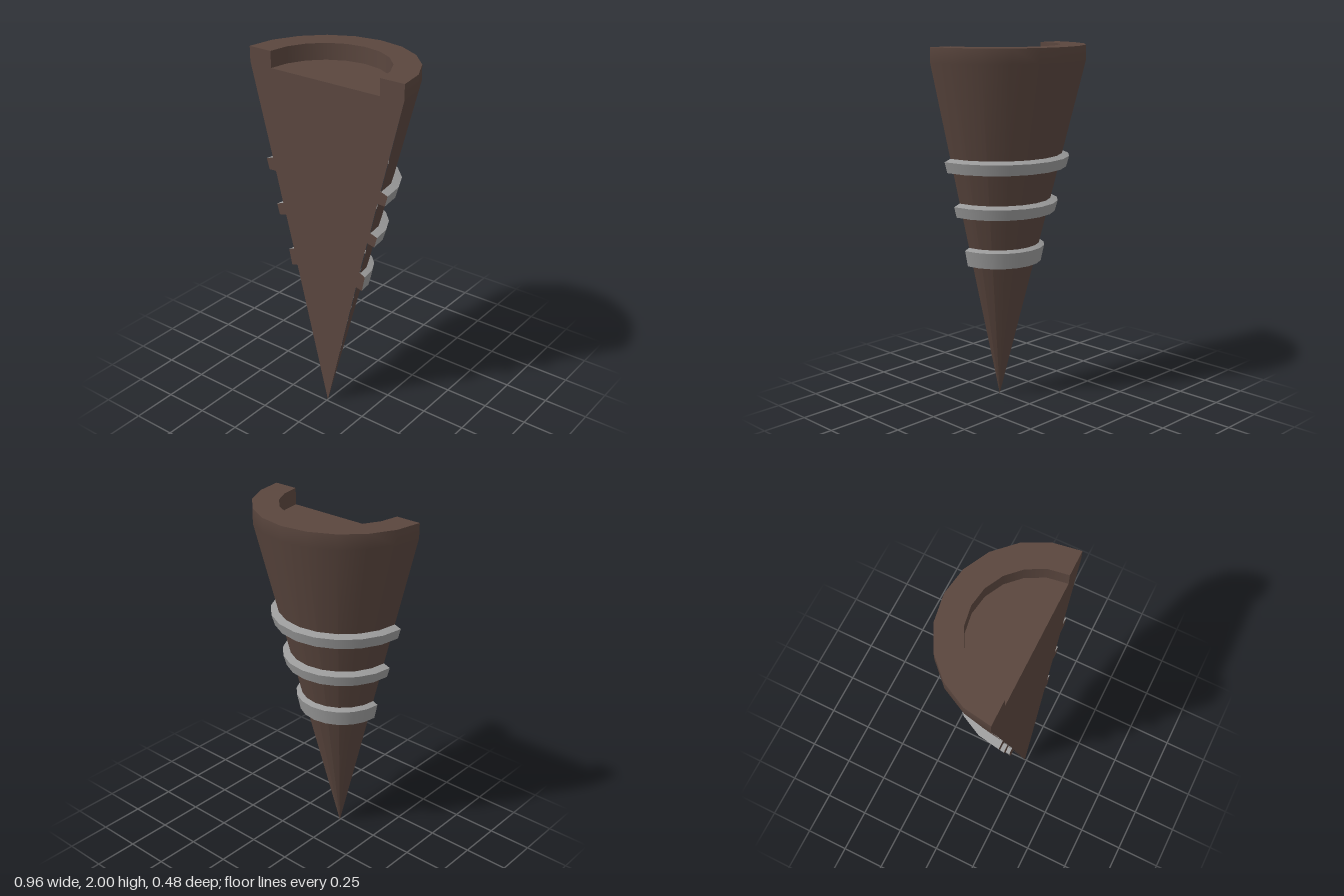
import * as THREE from 'three';

const FRONT_Z = 0.24;
const SIDES = 10;

// Ring profiles as [radius, y]: inner bottom, outer bottom, outer top, inner top
const RINGS = [
  [[0.2, 0.815], [0.238, 0.805], [0.257, 0.895], [0.222, 0.91]],
  [[0.27, 1.1], [0.315, 1.09], [0.332, 1.15], [0.288, 1.165]],
  [[0.332, 1.342], [0.377, 1.34], [0.394, 1.4], [0.35, 1.415]],
];

export function createModel() {
  const group = new THREE.Group();
  const brown = new THREE.MeshStandardMaterial({ color: 0x5a463e });
  brown.name = 'brown';
  const grey = new THREE.MeshStandardMaterial({ color: 0x9a9a9a });
  grey.name = 'grey';

  const add = (name, geometry, material, parent = group) => {
    const mesh = new THREE.Mesh(geometry, material);
    mesh.name = name;
    mesh.position.z = FRONT_Z;
    parent.add(mesh);
  };
  // Half-turn surface swept around the back
  const halfLathe = (points) => new THREE.LatheGeometry(
    points.map(([r, y]) => new THREE.Vector2(r, y)), SIDES, Math.PI / 2, Math.PI);

  // Half cone with a rim and a shallow recess in its top
  add('coneWall', halfLathe([[0, 0], [0.48, 1.92], [0.48, 2]]), brown);
  add('rimTop', halfLathe([[0.48, 2], [0.34, 2]]), brown);
  add('recessWall', halfLathe([[0.34, 2], [0.34, 1.91]]), brown);
  add('recessFloor', halfLathe([[0.34, 1.91], [0, 1.91]]), brown);

  // Flat front, its outline stepping out at the cut ends of the rings
  const right = [[0, 0], ...RINGS.flat(), [0.48, 1.92], [0.48, 2], [0.34, 2], [0.34, 1.91]];
  const left = right.slice(1).reverse().map(([x, y]) => [-x, y]);
  const outline = [...right, ...left].map(([x, y]) => new THREE.Vector2(x, y));
  add('flatFront', new THREE.ShapeGeometry(new THREE.Shape(outline)), brown);

  // Raised rings: underside, outer band and top as separate smooth walls
  RINGS.forEach((profile, i) => {
    const ring = new THREE.Group();
    ring.name = `ring${i + 1}`;
    ['underside', 'outerBand', 'topFace'].forEach((name, k) =>
      add(name, halfLathe([profile[k], profile[k + 1]]), grey, ring));
    group.add(ring);
  });

  return group;
}
